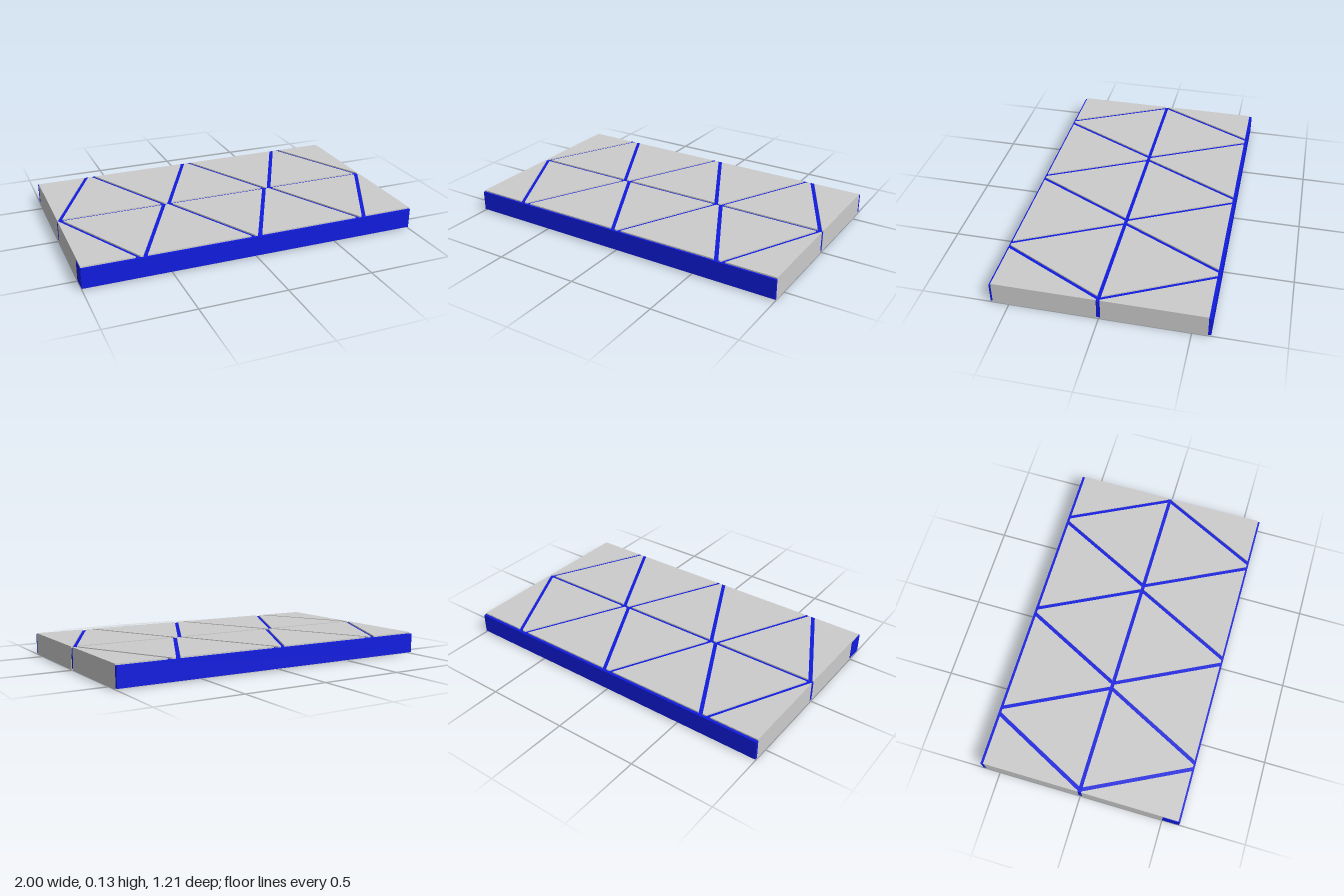
import * as THREE from 'three';

const HEIGHT = 0.133;      // full height of the infill blocks
const WEB_BASE = 0.008;    // webs sit slightly recessed at both faces
const WEB_TOP = 0.125;
const HALF = 0.013;        // half of a diagonal web, measured along x
const GAP = 0.016;         // offset of paired webs either side of a node

const grey = new THREE.MeshStandardMaterial({ color: 0xcccccc });
const blue = new THREE.MeshStandardMaterial({ color: 0x101ce0 });

// Upright prism over a plan outline of [x, z] points
function prism(name, outline, y0, y1, material) {
  const shape = new THREE.Shape(outline.map(([x, z]) => new THREE.Vector2(x, -z)));
  const geometry = new THREE.ExtrudeGeometry(shape, { depth: y1 - y0, bevelEnabled: false });
  geometry.rotateX(-Math.PI / 2).translate(0, y0, 0);
  const mesh = new THREE.Mesh(geometry, material);
  mesh.name = name;
  return mesh;
}

const block = (name, outline) => prism(name, outline, 0, HEIGHT, grey);
const web = (name, outline) => prism(name, outline, WEB_BASE, WEB_TOP, blue);
const rect = (x0, x1, z0, z1) => [[x0, z0], [x1, z0], [x1, z1], [x0, z1]];

// One row of triangular cells between the middle web and an outer web
function createRow(name, inner, outer) {
  const row = new THREE.Group();
  row.name = name;
  const span = Math.sign(outer) * 0.6;

  // Centre lines of the six zigzag webs, as x at a given z
  const lines = [];
  for (let i = 0; i < 6; i++) {
    const start = -1 + i * 2 / 3 / 2 + GAP;
    const end = -1 + (i + 1) * 2 / 3 / 2 - GAP;
    const [xInner, xOuter] = i % 2 ? [end, start] : [start, end];
    lines.push(z => xInner + (xOuter - xInner) * z / span);
  }

  lines.forEach(x => row.add(web('diagonalWeb', [
    [x(inner) - HALF, inner], [x(inner) + HALF, inner],
    [x(outer) + HALF, outer], [x(outer) - HALF, outer],
  ])));

  // Infill blocks: a half triangle at each end, full triangles between
  for (let i = 0; i <= 6; i++) {
    const left = z => (i === 0 ? -0.998 : lines[i - 1](z) + HALF);
    const right = z => (i === 6 ? 1 : lines[i](z) - HALF);
    row.add(block(i % 6 ? 'triangleBlock' : 'cornerBlock', [
      [left(inner), inner], [right(inner), inner],
      [right(outer), outer], [left(outer), outer],
    ]));
  }
  return row;
}

export function createModel() {
  const model = new THREE.Group();
  model.name = 'trussPanel';

  model.add(createRow('backRow', -0.01, -0.586));
  model.add(createRow('frontRow', 0.012, 0.592));

  // Straight webs along the length
  model.add(web('backWeb', rect(-1, 1, -0.603, -0.586)));
  model.add(web('middleWeb', rect(-0.998, 0.998, -0.01, 0.012)));
  model.add(web('frontWeb', rect(-1, 1, 0.592, 0.603)));

  // Folded end of the front web
  model.add(web('endFlap', rect(-1.001, -0.998, 0.5, 0.592)));
  return model;
}
